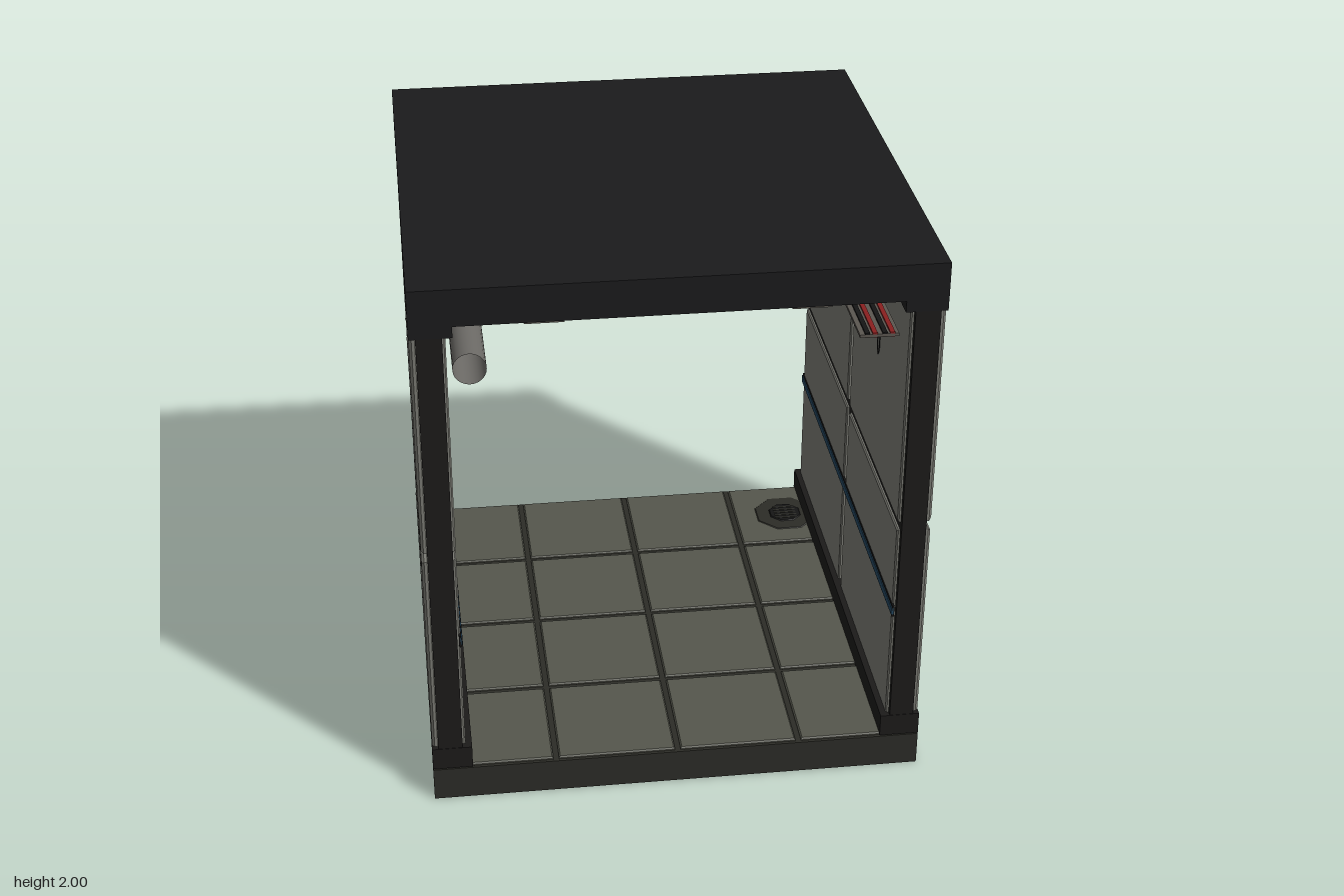
import * as THREE from 'three';

const mat = (color, side = THREE.FrontSide) => new THREE.MeshStandardMaterial({ color, side });
const M = {
  roof: mat(0x1b1b1c), base: mat(0x2c2c27), frame: mat(0x1c1b1a), panel: mat(0x7a7a73),
  tile: mat(0x55564c), black: mat(0x151515), lamp: mat(0x5c5751), lens: mat(0x7c776e),
  blue: mat(0x23465f), red: mat(0x8a1f1f), pipe: mat(0x6c6a66, THREE.DoubleSide),
};

function add(parent, name, geo, material, x = 0, y = 0, z = 0) {
  const m = new THREE.Mesh(geo, material);
  m.name = name;
  m.position.set(x, y, z);
  parent.add(m);
  return m;
}
const box = (w, h, d) => new THREE.BoxGeometry(w, h, d);

function rect(w, h, Type = THREE.Shape) {
  const s = new Type();
  s.moveTo(-w / 2, -h / 2);
  s.lineTo(w / 2, -h / 2);
  s.lineTo(w / 2, h / 2);
  s.lineTo(-w / 2, h / 2);
  s.closePath();
  return s;
}

// Bevelled plate of full size w x h x d, facing +z, back on z = 0
function plate(w, h, d, b) {
  const g = new THREE.ExtrudeGeometry(rect(w - 2 * b, h - 2 * b), {
    depth: d - 2 * b, bevelThickness: b, bevelSize: b, bevelSegments: 1,
  });
  return g.translate(0, 0, b);
}

// One side wall, built for +x; s = -1 gives the opposite one
function wall(s) {
  const g = new THREE.Group();
  g.name = s > 0 ? 'leftWall' : 'rightWall';
  add(g, 'wallCore', box(0.085, 1.72, 1.735), M.frame, s * 0.8055, 1, 0);
  add(g, 'bottomCurb', box(0.14, 0.085, 1.738), M.frame, s * 0.8, 0.1725, 0);
  add(g, 'topBeam', box(0.14, 0.05, 1.738), M.roof, s * 0.8, 1.855, 0);

  const rows = [[0.205, 0.985], [1.018, 1.832]];
  for (const [y0, y1] of rows) {
    const h = y1 - y0, y = (y0 + y1) / 2;
    for (const t of [-1, 1]) {
      // outer and inner cladding
      const outer = add(g, 'outerPanel', plate(0.835, h, 0.028, 0.009), M.panel, s * 0.841, y, t * 0.434);
      outer.rotation.y = s * Math.PI / 2;
      const inner = add(g, 'innerPanel', plate(0.825, h, 0.02, 0.005), M.panel, s * 0.772, y, t * 0.434);
      inner.rotation.y = -s * Math.PI / 2;
      // bolts in the lower corners
      for (const dz of [-0.39, 0.39]) {
        const bolt = add(g, 'bolt', new THREE.CylinderGeometry(0.005, 0.005, 0.004, 8), M.frame,
          s * 0.869, y0 === 0.205 ? 0.24 : 1.05, t * 0.434 + dz);
        bolt.rotation.z = Math.PI / 2;
      }
    }
  }
  // seam below the top edge of the lower panels
  for (const t of [-1, 1]) add(g, 'panelSeam', box(0.002, 0.006, 0.815), M.frame, s * 0.869, 0.96, t * 0.434);

  // blue guide rail on the inside
  add(g, 'guideRailBack', box(0.008, 0.045, 1.72), M.black, s * 0.753, 0.66, 0);
  add(g, 'guideRail', box(0.008, 0.028, 1.72), M.blue, s * 0.75, 0.66, 0);

  // slack cables on the inside
  for (const z of [-0.47, 0.43]) {
    const pts = [[1.72, -0.012], [1.56, -0.02], [1.45, -0.004], [1.46, 0.01], [1.58, 0.012], [1.72, 0.006]];
    const curve = new THREE.CatmullRomCurve3(pts.map(([y, dz]) => new THREE.Vector3(s * 0.752, y, z + dz)));
    add(g, 'cable', new THREE.TubeGeometry(curve, 24, 0.003, 5), M.black);
  }
  return g;
}

export function createModel() {
  const root = new THREE.Group();
  root.name = 'roomModule';

  // floor slab, roof and walls
  add(root, 'floorSlab', box(1.74, 0.126, 1.74), M.base, 0, 0.063, 0);
  add(root, 'roofSlab', box(1.74, 0.13, 1.74), M.roof, 0, 1.935, 0);
  root.add(wall(1), wall(-1));

  // floor tiles, four by four
  for (let i = 0; i < 4; i++) {
    for (let j = 0; j < 4; j++) {
      const tile = add(root, 'floorTile', plate(0.415, 0.415, 0.014, 0.005), M.tile,
        (i - 1.5) * 0.435, 0.122, (j - 1.5) * 0.435);
      tile.rotation.x = -Math.PI / 2;
    }
  }

  // floor drain in one corner tile
  const drain = new THREE.Group();
  drain.name = 'floorDrain';
  drain.position.set(0.652, 0.136, -0.652);
  add(drain, 'drainPlate', new THREE.CylinderGeometry(0.125, 0.13, 0.004, 8).rotateY(Math.PI / 8), M.base, 0, 0.001, 0);
  add(drain, 'drainCover', new THREE.CylinderGeometry(0.065, 0.07, 0.006, 8).rotateY(Math.PI / 8), M.black, 0, 0.004, 0);
  for (let i = -2; i <= 2; i++) add(drain, 'drainBar', box(0.09, 0.002, 0.008), M.base, 0, 0.0075, i * 0.02);
  root.add(drain);

  // two long ceiling lamps: rim with a recessed lens
  for (const x of [-0.435, 0.435]) {
    const shape = rect(0.13, 1.62);
    shape.holes.push(rect(0.09, 1.56, THREE.Path));
    const rim = new THREE.ExtrudeGeometry(shape, { depth: 0.04, bevelEnabled: false });
    add(root, 'lampRim', rim, M.lamp, x, 1.875, 0).rotation.x = Math.PI / 2;
    add(root, 'lampLens', box(0.09, 0.02, 1.56), M.lens, x, 1.86, 0);
  }

  // open air duct on one side, held by hangers
  add(root, 'airDuct', new THREE.CylinderGeometry(0.055, 0.055, 1.7, 24, 1, true).rotateX(Math.PI / 2),
    M.pipe, -0.68, 1.705, 0);
  for (const z of [-0.6, 0, 0.6]) add(root, 'ductHanger', box(0.024, 0.13, 0.04), M.black, -0.678, 1.81, z);

  // cable tray on the other side with cables lying in it
  add(root, 'cableTray', box(0.13, 0.01, 1.7), M.lamp, 0.652, 1.742, 0);
  const runs = [[-0.04, M.black], [-0.015, M.red], [0.018, M.black], [0.043, M.red]];
  for (const [dx, m] of runs) {
    add(root, 'trayCable', box(0.016, 0.006, 1.7), m, 0.652 + dx, 1.75, 0);
    add(root, 'trayStripe', box(0.016, 0.002, 1.7), m, 0.652 + dx, 1.7365, 0);
  }
  for (const z of [-0.6, 0, 0.6]) add(root, 'trayHanger', box(0.022, 0.13, 0.03), M.black, 0.647, 1.81, z);

  // wall control box with chamfered corners
  const control = new THREE.Group();
  control.name = 'controlBox';
  control.position.set(-0.76, 1.265, -0.52);
  control.rotation.y = Math.PI / 2;
  add(control, 'controlHousing', plate(0.13, 0.07, 0.046, 0.012), M.black);
  add(control, 'controlScreen', box(0.08, 0.034, 0.003), M.panel, 0, 0, 0.046);
  root.add(control);

  return root;
}
